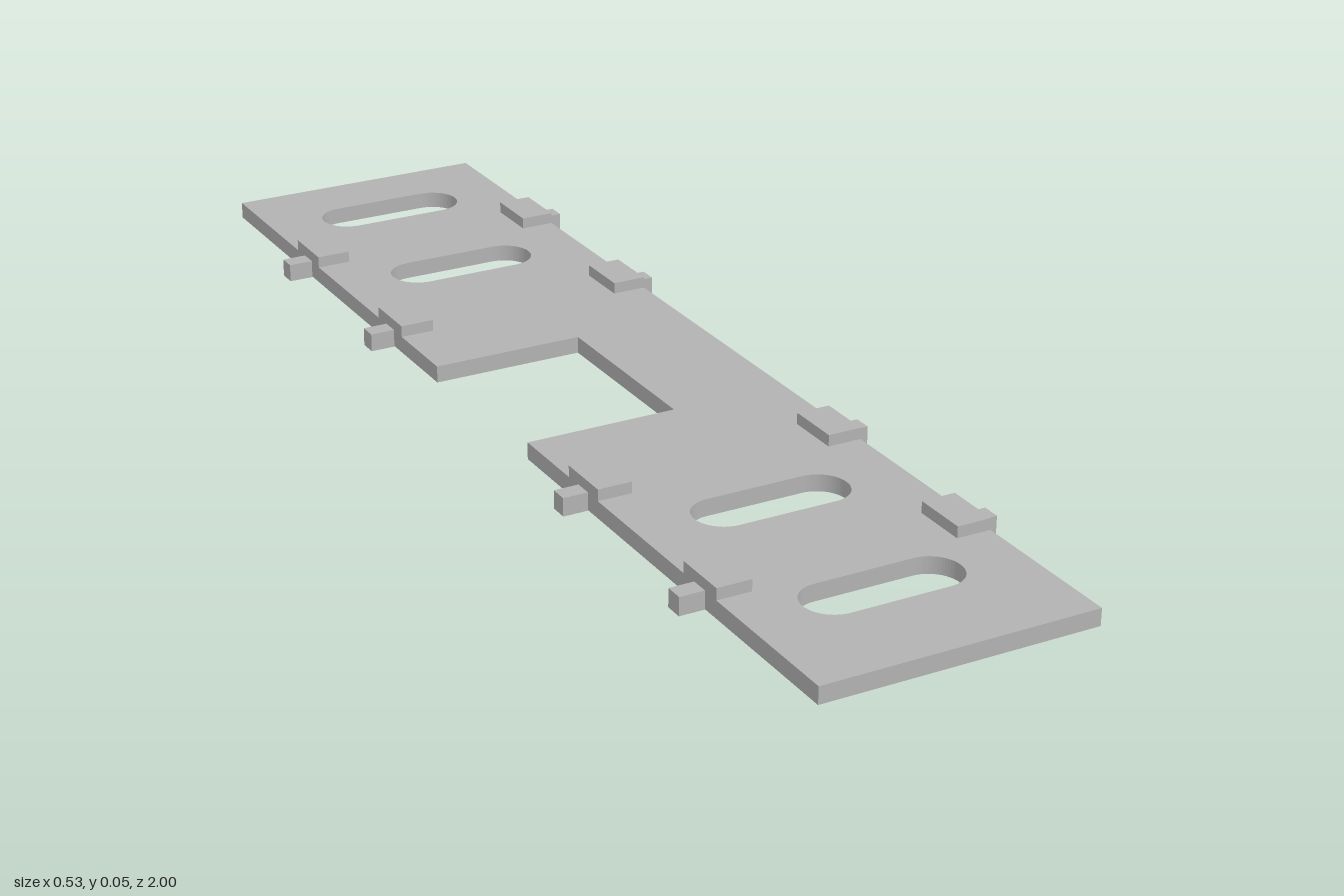
import * as THREE from 'three';

const MIN_X = -0.223, MAX_X = 0.23, TOP = 0.029, BOTTOM = 0.001;

// Elongated hole with semicircular ends, running across the plate
function slotPath(z) {
  const r = 0.0475, left = -0.127 + r, right = 0.132 - r;
  const path = new THREE.Path();
  path.moveTo(left, z - r);
  path.lineTo(right, z - r);
  path.absarc(right, z, r, -Math.PI / 2, Math.PI / 2, false);
  path.lineTo(left, z + r);
  path.absarc(left, z, r, Math.PI / 2, Math.PI * 1.5, false);
  return path;
}

// Box given by its minimum and maximum corners
function box(name, material, min, max) {
  const size = max.map((v, i) => v - min[i]);
  const mesh = new THREE.Mesh(new THREE.BoxGeometry(...size), material);
  mesh.position.set(...min.map((v, i) => v + size[i] / 2));
  mesh.name = name;
  return mesh;
}

export function createModel() {
  const model = new THREE.Group();
  model.name = 'slottedPlate';
  const grey = new THREE.MeshStandardMaterial({ color: 0xb2b2b2 });
  grey.name = 'grey';

  // Flat plate with a notch in one long edge and four slots
  const outline = new THREE.Shape([
    [MIN_X, -1], [MAX_X, -1], [MAX_X, 1], [MIN_X, 1],
    [MIN_X, 0.16], [0.032, 0.16], [0.032, -0.163], [MIN_X, -0.163],
  ].map(([x, z]) => new THREE.Vector2(x, z)));
  outline.holes = [-0.843, -0.543, 0.504, 0.803].map(slotPath);
  const geometry = new THREE.ExtrudeGeometry(outline, {
    depth: TOP - BOTTOM, bevelEnabled: false, curveSegments: 16,
  });
  geometry.rotateX(Math.PI / 2).translate(0, TOP, 0);
  const plate = new THREE.Mesh(geometry, grey);
  plate.name = 'plate';
  model.add(plate);

  // Clips along both long edges: a pad on top and a peg sticking out
  for (const z of [-0.69, -0.345, 0.342, 0.688]) {
    for (const side of ['right', 'left']) {
      const isLeft = side === 'left';
      const clip = new THREE.Group();
      clip.name = side + 'Clip';
      const padX = isLeft ? [0.173, MAX_X] : [MIN_X, -0.166];
      const pegX = isLeft ? [0.225, 0.263] : [-0.264, -0.218];
      clip.add(
        box('pad', grey, [padX[0], TOP - 0.005, z - 0.046], [padX[1], 0.048, z + 0.046]),
        box('peg', grey, [pegX[0], 0, z - 0.015], [pegX[1], 0.03, z + 0.015]),
      );
      model.add(clip);
    }
  }
  return model;
}
